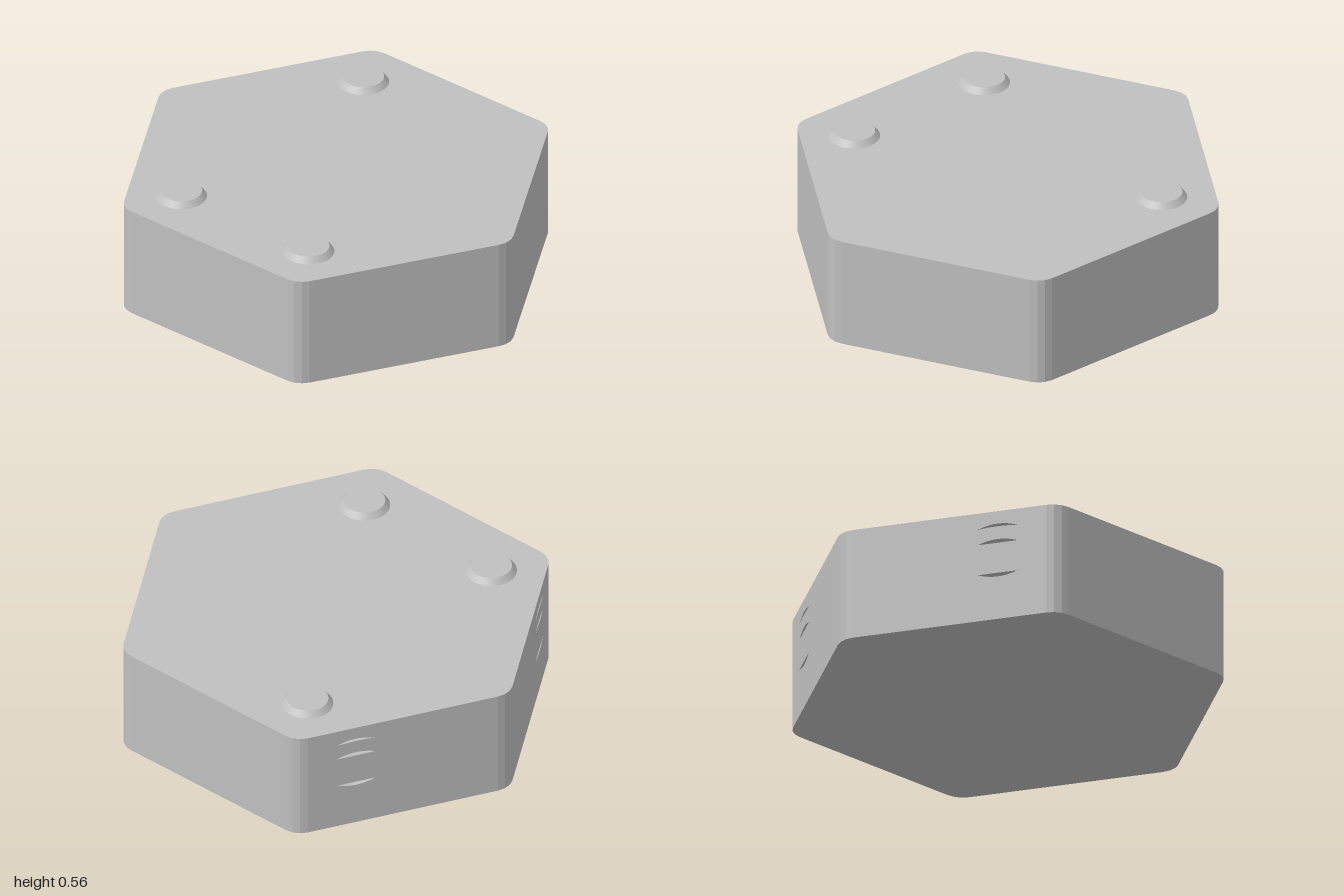
import * as THREE from 'three';

const H = 0.53;          // body height
const CORNER = 0.902;    // distance of corner arc centres from the axis
const FILLET = 0.1;      // corner radius
const SLOT_DEPTH = 0.1;

// Rounded hexagon, four points per corner, as [x, z]
function hexOutline() {
  const pts = [];
  for (let k = 0; k < 6; k++) {
    const a = THREE.MathUtils.degToRad(60 * k);
    for (const step of [-30, -10, 10, 30]) {
      const b = a + THREE.MathUtils.degToRad(step);
      pts.push(new THREE.Vector2(
        CORNER * Math.sin(a) + FILLET * Math.sin(b),
        CORNER * Math.cos(a) + FILLET * Math.cos(b)));
    }
  }
  return pts;
}

// Lens-shaped slit: ends at (u, y), bulging to different heights on each side
function slitPoints(u, y, high, low) {
  const half = 0.093, n = 12, pts = [];
  const bulge = t => 1 - t * t;
  for (let i = 0; i <= n; i++) {
    const t = -1 + 2 * i / n;
    pts.push(new THREE.Vector2(u + half * t, y + low * bulge(t)));
  }
  for (let i = n - 1; i > 0; i--) {
    const t = -1 + 2 * i / n;
    pts.push(new THREE.Vector2(u + half * t, y + high * bulge(t)));
  }
  return pts;
}

// Inner walls of a slit, running back from the panel
function slitLining(pts) {
  const pos = [];
  pts.forEach((p, i) => {
    const q = pts[(i + 1) % pts.length], d = -SLOT_DEPTH;
    pos.push(p.x, p.y, 0, q.x, q.y, 0, q.x, q.y, d);
    pos.push(p.x, p.y, 0, q.x, q.y, d, p.x, p.y, d);
  });
  const g = new THREE.BufferGeometry();
  g.setAttribute('position', new THREE.Float32BufferAttribute(pos, 3));
  g.computeVertexNormals();
  return g;
}

export function createModel() {
  const model = new THREE.Group();
  const grey = new THREE.MeshStandardMaterial({ color: 0xc0c0c0 });
  grey.name = 'plain grey';

  const add = (parent, name, geometry) => {
    const mesh = new THREE.Mesh(geometry, grey);
    mesh.name = name;
    parent.add(mesh);
    return mesh;
  };

  const outline = hexOutline();

  // Top and bottom plates
  const hex = new THREE.Shape(outline);
  add(model, 'topPlate', new THREE.ShapeGeometry(hex).rotateX(-Math.PI / 2)).position.y = H;
  add(model, 'bottomPlate', new THREE.ShapeGeometry(hex).rotateX(Math.PI / 2));

  // Side walls and corner facets; the two back walls carry three slits
  const slitCentre = { 11: 0.228, 15: 0.674 };
  outline.forEach((p, i) => {
    const q = outline[(i + 1) % outline.length];
    const width = p.distanceTo(q);
    const wall = new THREE.Group();
    wall.name = i % 4 === 3 ? 'sideWall' : 'cornerFacet';
    wall.position.set(p.x, 0, p.y);
    wall.rotation.y = Math.atan2(-(q.y - p.y), q.x - p.x);
    model.add(wall);

    const panel = new THREE.Shape([
      new THREE.Vector2(0, 0), new THREE.Vector2(width, 0),
      new THREE.Vector2(width, H), new THREE.Vector2(0, H)]);
    if (i in slitCentre) {
      const u = slitCentre[i];
      const slits = [
        slitPoints(u, 0.45, 0.019, 0.006),
        slitPoints(u, 0.375, 0.018, 0),
        slitPoints(u, 0.227, 0, -0.018)];
      for (const pts of slits) {
        panel.holes.push(new THREE.Path(pts));
        add(wall, 'slitLining', slitLining(pts));
      }
    }
    add(wall, 'wallPanel', new THREE.ShapeGeometry(panel));
  });

  // Three tapered studs on the top
  for (const [x, z] of [[-0.635, -0.37], [0.635, -0.37], [-0.635, 0.37]]) {
    const stud = add(model, 'stud', new THREE.CylinderGeometry(0.093, 0.115, 0.028, 48));
    stud.position.set(x, H + 0.014, z);
  }

  return model;
}
